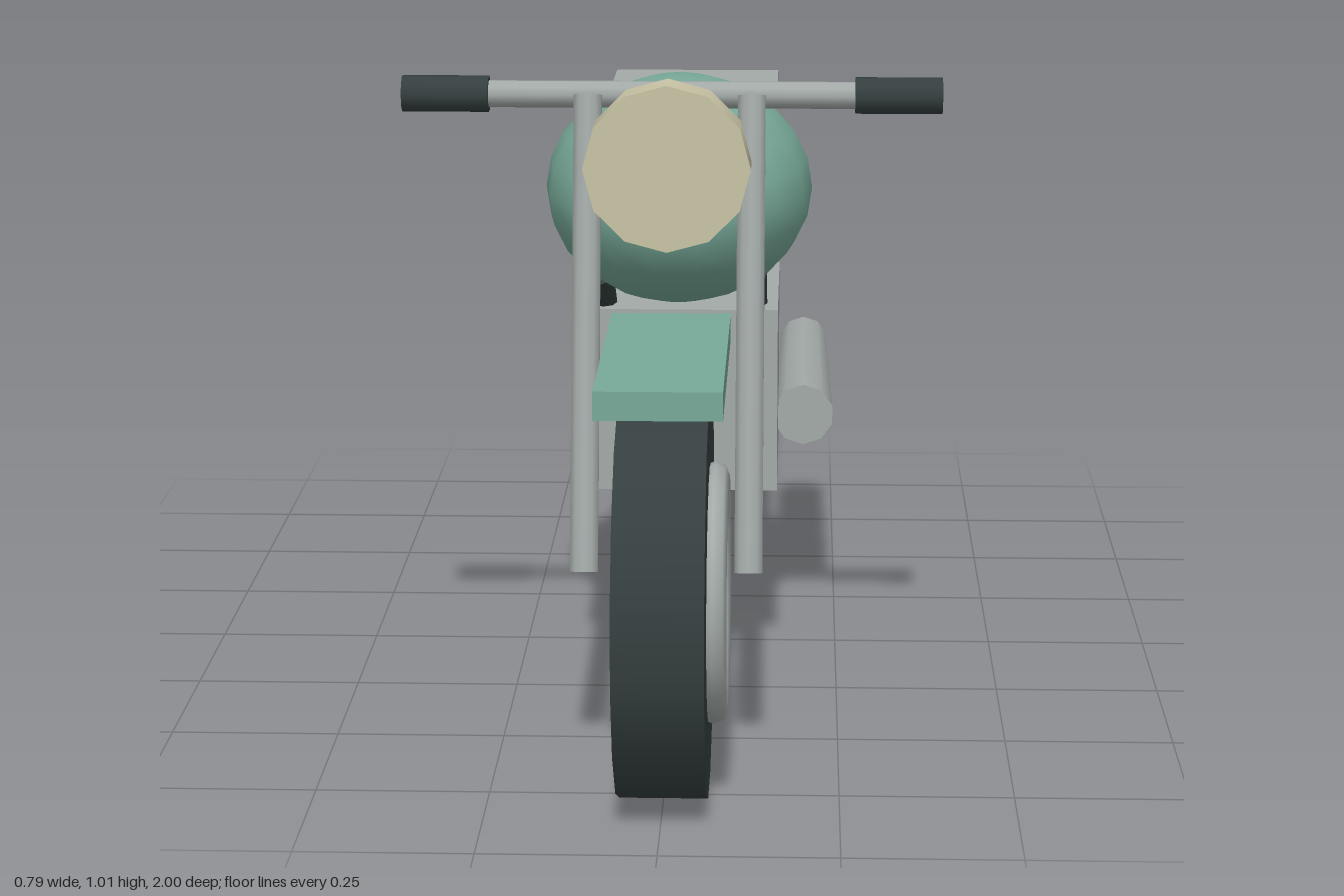
import * as THREE from 'three';

export function createModel() {
  const bike = new THREE.Group();
  bike.name = 'motorcycle';

  const material = (name, color) => {
    const m = new THREE.MeshStandardMaterial({ color });
    m.name = name;
    return m;
  };
  const green = material('green paint', 0x78aa99);
  const dark = material('dark rubber', 0x353f3f);
  const metal = material('grey metal', 0xa3aaa8);
  const cream = material('cream lamp', 0xc9c4a6);

  const add = (name, geometry, mat, x, y, z) => {
    const mesh = new THREE.Mesh(geometry, mat);
    mesh.name = name;
    mesh.position.set(x, y, z);
    bike.add(mesh);
    return mesh;
  };
  const box = (name, mat, w, h, d, x, y, z) =>
    add(name, new THREE.BoxGeometry(w, h, d), mat, x, y, z);

  // Turns a part so that its y axis runs from a to b
  const up = new THREE.Vector3(0, 1, 0);
  const between = (name, mat, a, b, makeGeometry) => {
    const from = new THREE.Vector3(...a), to = new THREE.Vector3(...b);
    const dir = to.clone().sub(from);
    const mid = from.clone().add(to).multiplyScalar(0.5);
    const mesh = add(name, makeGeometry(dir.length()), mat, mid.x, mid.y, mid.z);
    mesh.quaternion.setFromUnitVectors(up, dir.normalize());
  };
  const rod = (name, mat, a, b, r, sides = 10, rEnd = r) =>
    between(name, mat, a, b, (len) => new THREE.CylinderGeometry(rEnd, r, len, sides));

  // Wheels, each with a rim ring on the left side
  for (const [name, z] of [['front', 0.71], ['rear', -0.71]]) {
    const tyre = new THREE.CylinderGeometry(0.295, 0.295, 0.127, 16);
    tyre.rotateY(Math.PI / 16).rotateZ(Math.PI / 2);
    add(name + 'Tyre', tyre, dark, 0, 0.29, z);
    const rim = new THREE.TorusGeometry(0.167, 0.02, 8, 20).rotateY(Math.PI / 2);
    add(name + 'Rim', rim, metal, 0.071, 0.29, z);
  }

  // Engine, tank and seat
  box('engine', metal, 0.31, 0.29, 0.388, 0, 0.438, -0.04);
  const tank = add('tank', new THREE.SphereGeometry(1, 18, 12), green, 0, 0.77, 0.11);
  tank.scale.set(0.207, 0.174, 0.304);
  box('seat', dark, 0.286, 0.094, 0.625, 0, 0.738, -0.3725);

  // Tail block with luggage rack, and front fender
  box('tail', green, 0.28, 0.1, 0.205, 0, 0.741, -0.7375);
  box('rack', metal, 0.294, 0.028, 0.25, 0, 0.798, -0.756);
  box('frontFender', green, 0.175, 0.04, 0.508, 0, 0.621, 0.709);

  // Fork legs, frame tubes, swing arms and grips on both sides
  for (const s of [-1, 1]) {
    const side = s > 0 ? 'left' : 'right';
    const x = 0.118 * s;
    rod(side + 'Fork', metal, [x, 0.307, 0.67], [x, 0.973, 0.51], 0.021);
    rod(side + 'FrameTube', dark, [x, 0.285, -0.35], [x, 0.65, 0.2], 0.02, 8);
    between(side + 'SwingArm', metal, [x, 0.282, -0.726], [x, 0.36, -0.2],
      (len) => new THREE.BoxGeometry(0.025, len, 0.045));
    rod(side + 'Grip', dark, [0.268 * s, 0.961, 0.423], [0.395 * s, 0.961, 0.423], 0.027);
  }
  rod('handlebar', metal, [-0.38, 0.961, 0.423], [0.38, 0.961, 0.423], 0.02);

  // Headlight drum
  const lamp = new THREE.CylinderGeometry(0.119, 0.119, 0.072, 12).rotateX(Math.PI / 2);
  add('headlight', lamp, cream, 0, 0.887, 0.607);

  // Exhaust, tapering to the rear
  rod('exhaust', metal, [0.196, 0.355, -0.1], [0.196, 0.355, -0.672], 0.05, 10, 0.042);

  return bike;
}
